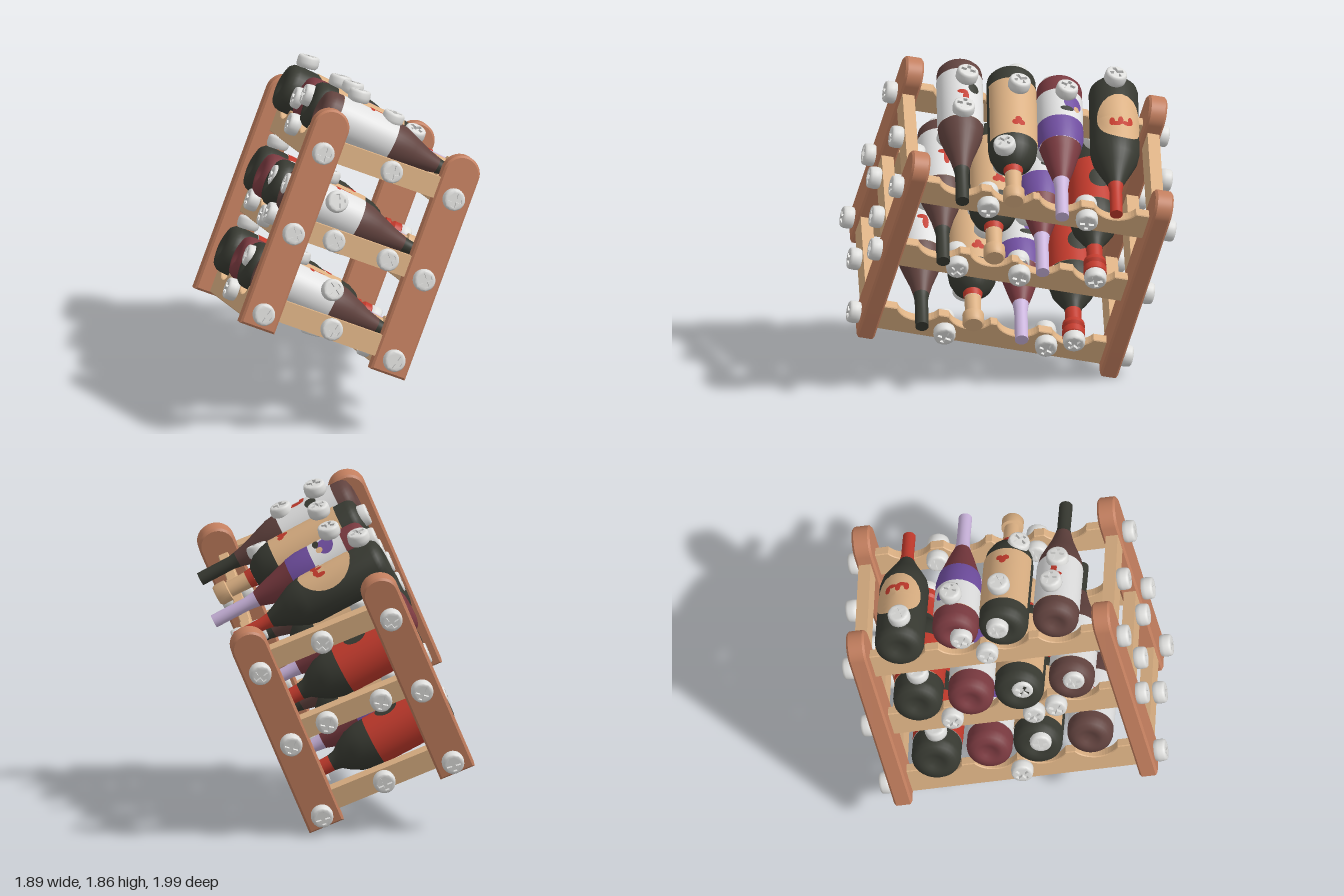
import * as THREE from 'three';
import { mergeGeometries, toCreasedNormals } from 'three/addons/utils/BufferGeometryUtils.js';

const mat = (name, color) => {
  const m = new THREE.MeshStandardMaterial({ color });
  m.name = name;
  return m;
};
const M = {
  post: mat('reddish wood', 0xc27e5e), slat: mat('pale wood', 0xdbb083),
  black: mat('dark green glass', 0x383a32), maroon: mat('maroon glass', 0x7a3a40),
  brown: mat('brown glass', 0x62433f), purple: mat('purple label', 0x704ea0),
  lavender: mat('lavender foil', 0xcab4dc), red: mat('red foil', 0xc23a2c),
  white: mat('white label', 0xe0e0e0), steel: mat('screw steel', 0xdededc),
};
const add = (parent, name, geo, m) => {
  const mesh = new THREE.Mesh(geo, m);
  mesh.name = name;
  parent.add(mesh);
  return mesh;
};
// Creasing merges points closer than 0.01, so it is done at a larger size
const creased = (geo, angle) => toCreasedNormals(geo.scale(50, 50, 50), angle).scale(0.02, 0.02, 0.02);
const plate = (shape, depth, bevel) => {
  const g = new THREE.ExtrudeGeometry(shape, {
    depth: depth - 2 * bevel, bevelThickness: bevel, bevelSize: bevel, bevelOffset: -bevel,
    bevelSegments: 1, curveSegments: 16,
  });
  return g.translate(0, 0, bevel - depth / 2);
};
const vecs = (pts) => pts.map(([x, y]) => new THREE.Vector2(x, y));

// Pan-head screw with a cross recess, axis along +z
function screwGeometry() {
  const N = 24, R = 0.053, a = 0.011, b = 0.041;
  const disc = new THREE.Shape(vecs(Array.from({ length: N }, (_, i) => {
    const t = (i / N) * Math.PI * 2;
    return [R * Math.sin(t), -R * Math.cos(t)];
  })));
  const cross = [[a, a], [a, b], [-a, b], [-a, a], [-b, a], [-b, -a], [-a, -a], [-a, -b], [a, -b], [a, -a], [b, -a], [b, a]];
  disc.holes.push(new THREE.Path(vecs(cross.reverse())));
  const top = new THREE.ExtrudeGeometry(disc, { depth: 0.02, bevelEnabled: false }).translate(0, 0, 0.05);
  const rim = new THREE.LatheGeometry(vecs([[0.052, 0], [0.061, 0.01], [0.064, 0.03], [0.062, 0.055], [0.059, 0.065], [R, 0.07]]), N)
    .rotateX(Math.PI / 2).toNonIndexed();
  const floor = new THREE.CircleGeometry(R, N).translate(0, 0, 0.052).toNonIndexed();
  return creased(mergeGeometries([top, rim, floor]), 0.8);
}

// Board with four scooped cradles along its upper edge
function cradleShape(xs) {
  const s = new THREE.Shape();
  const h = 0.17, w = 0.122;
  s.moveTo(-0.67, 0).lineTo(0.67, 0).lineTo(0.67, h);
  [...xs].reverse().forEach((x) => {
    s.lineTo(x + w, h);
    s.bezierCurveTo(x + w * 0.6, h - 0.085, x - w * 0.6, h - 0.085, x - w, h);
  });
  s.lineTo(-0.67, h);
  return s;
}

// Oval patch wrapped on a cylinder of radius R; x and y are surface distances
function decal(R, x, y, a, b) {
  const g = new THREE.RingGeometry(0.001, 1, 24, 5);
  const p = g.attributes.position;
  for (let i = 0; i < p.count; i++) {
    const ang = (x + p.getX(i) * a) / R;
    p.setXYZ(i, R * Math.sin(ang), y + p.getY(i) * b, R * Math.cos(ang));
  }
  g.computeVertexNormals();
  return g;
}

const foot = (r) => [[0, 0.014], [r * 0.3, 0.011], [r * 0.42, 0.001], [r * 0.6, 0], [r * 0.84, 0.01], [r * 0.96, 0.03], [r, 0.055]];

// Each bottle: lathe sections [name, material, [radius, height]..., optional half angle]
// and patches [material, x, y, a, b, lift]
const BOTTLES = {
  dark: {
    r: 0.14,
    parts: [
      ['glass', 'black', [...foot(0.14), [0.14, 0.5], [0.128, 0.56], [0.1, 0.62], [0.065, 0.69], [0.044, 0.74]]],
      ['foil', 'red', [[0.044, 0.74], [0.036, 0.79], [0.036, 0.96], [0, 0.962]]],
    ],
    patches: [['slat', -0.01, 0.33, 0.155, 0.165, 0.003], ['red', -0.06, 0.36, 0.016, 0.03, 0.006], ['red', -0.035, 0.385, 0.026, 0.016, 0.006],
      ['red', 0, 0.37, 0.016, 0.03, 0.006], ['red', 0.025, 0.395, 0.026, 0.016, 0.006], ['red', 0.05, 0.38, 0.016, 0.03, 0.006]],
  },
  redLabel: {
    r: 0.14,
    parts: [
      ['glass', 'black', [...foot(0.14), [0.14, 0.16]]],
      ['label', 'red', [[0.143, 0.16], [0.143, 0.47]]],
      ['shoulder', 'black', [[0.14, 0.47], [0.138, 0.53], [0.12, 0.6], [0.085, 0.66], [0.055, 0.7], [0.047, 0.74]]],
      ['foil', 'red', [[0.047, 0.74], [0.045, 0.83], [0.062, 0.835], [0.065, 0.86], [0.052, 0.875], [0.065, 0.89], [0.065, 0.93], [0.055, 0.94], [0, 0.94]]],
    ],
    patches: [['black', 0, 0.32, 0.06, 0.07, 0.007]],
  },
  maroon: {
    r: 0.13,
    parts: [
      ['glass', 'maroon', [...foot(0.13), [0.13, 0.13]]],
      ['label', 'white', [[0.132, 0.13], [0.132, 0.33]]],
      ['upper label', 'purple', [[0.132, 0.33], [0.132, 0.41], [0.12, 0.48]]],
      ['shoulder', 'maroon', [[0.118, 0.48], [0.1, 0.54], [0.072, 0.64], [0.046, 0.72]]],
      ['foil', 'lavender', [[0.046, 0.72], [0.038, 0.78], [0.038, 0.995], [0, 0.997]]],
    ],
    patches: [['purple', -0.05, 0.23, 0.06, 0.05, 0.005], ['black', -0.01, 0.28, 0.04, 0.018, 0.006], ['slat', -0.07, 0.27, 0.02, 0.02, 0.007]],
  },
  tan: {
    r: 0.14,
    parts: [
      ['glass', 'black', [...foot(0.14), [0.14, 0.54], [0.132, 0.6], [0.11, 0.65], [0.07, 0.69], [0.054, 0.7]]],
      ['label', 'slat', [[0.143, 0.12], [0.143, 0.54]], 1.35],
      ['collar', 'red', [[0.056, 0.7], [0.05, 0.74]]],
      ['foil', 'slat', [[0.048, 0.74], [0.045, 0.86], [0.062, 0.865], [0.062, 0.925], [0.052, 0.94], [0, 0.94]]],
    ],
    patches: [['red', -0.018, 0.46, 0.02, 0.02, 0.006], ['red', 0.018, 0.46, 0.02, 0.02, 0.006], ['red', 0, 0.44, 0.02, 0.025, 0.007]],
  },
  brown: {
    r: 0.13,
    parts: [
      ['glass', 'brown', [...foot(0.13), [0.13, 0.1]]],
      ['label', 'white', [[0.132, 0.1], [0.132, 0.455]]],
      ['shoulder', 'brown', [[0.13, 0.455], [0.121, 0.52], [0.097, 0.59], [0.065, 0.68], [0.045, 0.76]]],
      ['foil', 'black', [[0.045, 0.76], [0.038, 0.8], [0.038, 1.0], [0, 1.002]]],
    ],
    patches: [['red', 0, 0.32, 0.018, 0.05, 0.005], ['red', 0.02, 0.28, 0.03, 0.015, 0.006], ['black', -0.05, 0.24, 0.035, 0.035, 0.005]],
  },
};

function makeBottle(kind) {
  const spec = BOTTLES[kind];
  const g = new THREE.Group();
  spec.parts.forEach(([name, m, pts, half = Math.PI]) => {
    const lathe = new THREE.LatheGeometry(vecs(pts), 32, -half, 2 * half);
    add(g, name, creased(lathe, 0.7), M[m]);
  });
  spec.patches.forEach(([m, x, y, a, b, lift]) => add(g, 'label mark', decal(spec.r + lift, x, y, a, b), M[m]));
  return g;
}

export function createModel() {
  const root = new THREE.Group();
  root.name = 'bottleRack';
  const rack = new THREE.Group();
  rack.name = 'tiltedRack';
  rack.rotation.set(-0.45, -0.511, 0);
  rack.position.set(0.01, 0.36, 0.27);
  root.add(rack);

  const screwGeo = screwGeometry();
  const zAxis = new THREE.Vector3(0, 0, 1);
  const screw = (x, y, z, nx, ny, nz) => {
    const s = add(rack, 'screw', screwGeo, M.steel);
    s.position.set(x, y, z);
    s.quaternion.setFromUnitVectors(zAxis, new THREE.Vector3(nx, ny, nz).normalize());
    s.rotateZ(0.4 + x * 3 + y * 2);
  };

  // Round-topped corner posts
  const post = new THREE.Shape();
  post.moveTo(-0.105, 0).lineTo(0.105, 0).lineTo(0.105, 1.21);
  post.absarc(0, 1.21, 0.105, 0, Math.PI);
  post.lineTo(-0.105, 0);
  const postGeo = creased(plate(post, 0.105, 0.012).rotateY(Math.PI / 2), 0.5);
  const PITCH = 0.486;
  for (const sx of [-1, 1]) for (const sz of [-1, 1]) {
    add(rack, 'cornerPost', postGeo, M.post).position.set(sx * 0.71, 0, sz * 0.4);
    for (let i = 0; i < 3; i++) screw(sx * 0.757, 0.09 + i * PITCH, sz * 0.4, sx, 0, 0);
  }

  // Side rails and cradle boards at three levels
  const cols = [-0.46, -0.14, 0.14, 0.442];
  const cradleGeo = plate(cradleShape(cols), 0.06, 0.005);
  const railGeo = new THREE.BoxGeometry(0.07, 0.125, 0.64);
  const railScrews = [[0], [0.165, -0.165], [-0.01]];
  const frontScrews = [[[0, 0.1]], [[-0.295, 0.11], [0.17, 0.08], [0.305, 0.115]], [[0.015, 0.125]]];
  const backScrews = [[[-0.32, 0.1], [0.265, 0.07]], [[-0.04, 0.1], [0.32, 0.09]], [[0.26, 0.08], [-0.31, 0.1]]];
  for (let i = 0; i < 3; i++) {
    const y = 0.012 + i * PITCH;
    const railY = 0.138 + i * 0.477;
    for (const s of [-1, 1]) {
      add(rack, 'sideRail', railGeo, M.slat).position.set(s * 0.715, railY, 0);
      railScrews[i].forEach((z) => screw(s * 0.748, railY, z, s, 0, 0));
      add(rack, 'cradleBoard', cradleGeo, M.slat).position.set(0, y, s * 0.39);
    }
    frontScrews[i].forEach(([x, dy]) => screw(x, y + dy, 0.415, 0, 0, 1));
    backScrews[i].forEach(([x, dy]) => {
      screw(x, y + dy, -0.415, 0, 0, -1);
      screw(x, y + dy, -0.365, 0, 0, 1);
    });
  }

  // Bottles, necks to the back and dipping slightly, screwed from above and below
  const baseZ = [[0.49, 0.46, 0.46, 0.445], [0.49, 0.5, 0.495, 0.465], [0.495, 0.437, 0.442, 0.44]];
  const topZ = [0.395, 0.245, 0.225, 0.24];
  const underZ = [null, 0.13, -0.035, null];
  baseZ.forEach((zs, row) => cols.forEach((col, c) => {
    const kind = [row === 2 ? 'dark' : 'redLabel', 'maroon', 'tan', 'brown'][c];
    const b = makeBottle(kind);
    const x = row < 2 && c > 0 ? col - 0.013 : col;
    const y = 0.296 + row * PITCH;
    b.name = kind + 'Bottle';
    b.position.set(x, y, zs[c]);
    b.rotation.x = -Math.PI / 2 - 0.105;
    rack.add(b);
    const r = BOTTLES[kind].r;
    screw(c === 0 ? x + 0.035 : x, y + r - 0.022 + (topZ[c] - 0.2) * 0.1, topZ[c], 0, 1, 0.1);
    if (underZ[c] !== null) screw(x, y - r - 0.012 + (underZ[c] - 0.43) * 0.1, underZ[c], 0, -1, -0.1);
    if (c === 0 && row < 2) screw(x, y - 0.093, -0.435, 0, -0.1, -1);
  }));

  // Extra screws driven into the bottles
  [[0.155, 0.335, 0.41], [0.155, 0.81, 0.43], [0.45, 0.81, 0.41], [-0.105, 1.25, 0.41], [0.115, 1.3, 0.41]]
    .forEach(([x, y, z]) => screw(x, y, z, 0, 0, 1));
  [[0.555, 0.81, 0.185], [0.545, 0.33, 0.03]].forEach(([x, y, z]) => screw(x, y, z, 1, 0.2, 0));
  screw(0.455, 1.325, 0.02, 0.1, 1, 0);
  screw(0.2, 1.27, -0.18, 0.4, 1, 0);
  return root;
}
